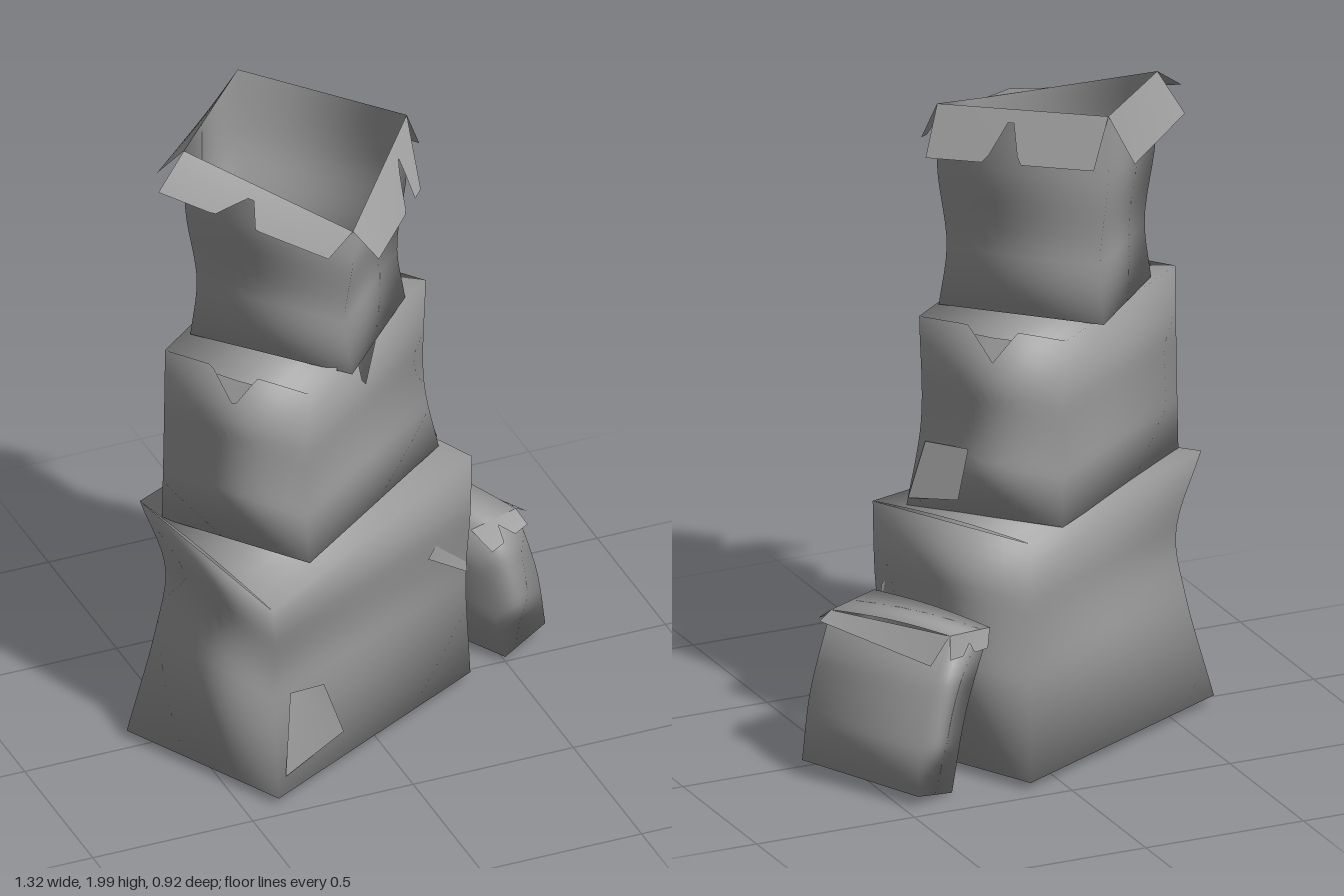
import * as THREE from 'three';
import { ParametricGeometry } from 'three/addons/geometries/ParametricGeometry.js';

const material = new THREE.MeshStandardMaterial({ color: 0x9a9a9a, side: THREE.DoubleSide });
const V = (p) => new THREE.Vector3(...p);

// Curved sheet; an optional rule gives soft normals that blend round the corners
function surface(name, fn, nu, nv, normalAt) {
  const geometry = new ParametricGeometry(fn, nu, nv);
  if (normalAt) {
    const { uv, normal } = geometry.attributes;
    for (let k = 0; k < uv.count; k++) {
      const n = normalAt(uv.getX(k), uv.getY(k)).normalize();
      normal.setXYZ(k, n.x, n.y, n.z);
    }
  }
  const mesh = new THREE.Mesh(geometry, material);
  mesh.name = name;
  return mesh;
}

// V-shaped tear: [position along the edge, half width, depth]
const tear = (u, cut) => (cut ? cut[2] * Math.max(0, 1 - Math.abs(u - cut[0]) / cut[1]) : 0);

// Point between four corners a, b, c, d
const blend = ([a, b, c, d], u, v) => a.clone().lerp(b, u).lerp(d.clone().lerp(c, u), v);

// Sheet between edge a-b and edge d-c, sagging across its middle
function sheet(name, points, { sag = 0, cut = null, normals = null } = {}) {
  const corners = points.map(V);
  return surface(name, (u, v, out) => {
    const t = v * (1 - tear(u, cut));
    out.copy(blend(corners, u, t));
    out.y -= sag * Math.sin(Math.PI * t);
  }, cut ? 30 : 10, 8, normals && ((u, v) => blend(normals, u, v)));
}

// Soft-edged box through rings of corners, listed left, front, right, back
function box(rings, { cuts = [], lid = null } = {}) {
  const group = new THREE.Group();
  const paths = [0, 1, 2, 3].map((i) => new THREE.CatmullRomCurve3(rings.map((r) => V(r[i]))));
  const cornerNormal = (i, t) => {
    const chord = paths[(i + 1) % 4].getPoint(t).sub(paths[(i + 3) % 4].getPoint(t));
    const n = chord.cross(paths[i].getTangent(t)).normalize();
    n.y -= 0.7 * Math.max(0, 1 - 3 * t);
    if (lid) n.y += 0.7 * Math.max(0, 3 * t - 2);
    return n.normalize();
  };
  for (let i = 0; i < 4; i++) {
    const j = (i + 1) % 4;
    const height = (u, v) => v * (1 - tear(u, cuts[i]));
    group.add(surface('wall',
      (u, v, out) => out.copy(paths[i].getPoint(height(u, v)).lerp(paths[j].getPoint(height(u, v)), u)),
      cuts[i] ? 30 : 12, 16,
      (u, v) => cornerNormal(i, height(u, v)).lerp(cornerNormal(j, height(u, v)), u)));
  }
  const pick = (order, fn) => order.map(fn);
  const down = [0, 3, 2, 1], up = [1, 2, 3, 0];
  group.add(sheet('floor', pick(down, (i) => rings[0][i]), { normals: pick(down, (i) => cornerNormal(i, 0)) }));
  if (lid) {
    group.add(sheet('lid', pick(up, (i) => rings[rings.length - 1][i]),
      { ...lid, normals: pick(up, (i) => cornerNormal(i, 1)) }));
  }
  return group;
}

function createModel() {
  const model = new THREE.Group();
  const add = (name, group, ...parts) => {
    group.name = name;
    group.add(...parts);
    model.add(group);
  };

  // Large box at the bottom, with a drooping front corner
  add('bottomBox', box([
    [[-0.66, 0.035, -0.05], [-0.4, 0.035, 0.455], [0.37, 0.035, 0.05], [0.11, 0.035, -0.455]],
    [[-0.57, 0.36, -0.05], [-0.385, 0.35, 0.385], [0.36, 0.36, 0.04], [0.11, 0.36, -0.445]],
    [[-0.54, 0.56, -0.05], [-0.39, 0.53, 0.41], [0.37, 0.57, 0.05], [0.11, 0.57, -0.445]],
    [[-0.615, 0.8, -0.06], [-0.42, 0.68, 0.46], [0.375, 0.77, 0.05], [0.11, 0.77, -0.45]],
  ], { lid: { sag: -0.01 } }),
  sheet('frontLabel', [[-0.37, 0.09, 0.435], [-0.14, 0.12, 0.32], [-0.21, 0.31, 0.34], [-0.33, 0.33, 0.375]]));

  // Middle box, torn at the top of its front and ends
  add('middleBox', box([
    [[-0.58, 0.78, 0.02], [-0.28, 0.775, 0.4], [0.305, 0.775, -0.03], [-0.02, 0.78, -0.395]],
    [[-0.575, 1.02, 0.02], [-0.285, 1.02, 0.385], [0.255, 1.02, -0.02], [-0.02, 1.02, -0.385]],
    [[-0.57, 1.35, 0.02], [-0.28, 1.35, 0.4], [0.265, 1.35, -0.03], [-0.03, 1.355, -0.4]],
  ], {
    cuts: [[0.48, 0.16, 0.18], [0.49, 0.1, 0.26], [0.5, 0.17, 0.16], null],
    lid: { sag: 0.03, cut: [0.49, 0.1, 0.2] },
  }),
  sheet('sideLabel', [[0.305, 0.8, -0.04], [0.205, 0.82, -0.165], [0.17, 0.97, -0.16], [0.255, 0.97, -0.05]]));

  // Open box on top with torn flaps folded out
  const rim = [[-0.49, 1.98, -0.03], [-0.12, 1.83, 0.34], [0.18, 1.97, 0.03], [-0.19, 2.0, -0.34]];
  add('topBox', box([
    [[-0.47, 1.35, -0.03], [-0.12, 1.34, 0.335], [0.175, 1.35, 0.03], [-0.18, 1.355, -0.33]],
    [[-0.45, 1.53, -0.03], [-0.13, 1.51, 0.305], [0.15, 1.53, 0.03], [-0.18, 1.54, -0.305]],
    [[-0.485, 1.77, -0.03], [-0.12, 1.72, 0.34], [0.18, 1.77, 0.03], [-0.19, 1.78, -0.335]],
    rim,
  ]),
  sheet('frontLeftFlap', [rim[1], rim[0], [-0.595, 1.9, 0.03], [-0.23, 1.81, 0.42]], { cut: [0.55, 0.12, 0.75] }),
  sheet('frontRightFlap', [rim[2], rim[1], [-0.06, 1.75, 0.39], [0.16, 1.81, 0.18]], { cut: [0.24, 0.1, 0.8] }),
  sheet('backRightFlap', [rim[3], rim[2], [0.24, 1.83, -0.02], [-0.12, 1.86, -0.39]], { cut: [0.55, 0.1, 0.9] }),
  sheet('backLeftFlap', [rim[0], rim[3], [-0.25, 1.86, -0.39], [-0.54, 1.87, -0.11]]));

  // Small box leaning against the side
  const top = [[0.2, 0.5, -0.37], [0.38, 0.505, 0.03], [0.55, 0.495, -0.04], [0.35, 0.515, -0.42]];
  add('leaningBox', box([
    [[0.32, 0.01, -0.37], [0.5, 0.025, 0], [0.655, 0.06, -0.07], [0.46, 0.045, -0.44]],
    [[0.27, 0.25, -0.36], [0.44, 0.26, 0.02], [0.62, 0.26, -0.05], [0.435, 0.26, -0.425]],
    top,
  ], { lid: { sag: -0.01 } }),
  sheet('frontFlap', [top[2], top[1], [0.43, 0.44, 0.07], [0.57, 0.46, 0]], { cut: [0.5, 0.15, 0.7] }),
  sheet('outerFlap', [top[3], top[2], [0.59, 0.47, -0.05], [0.42, 0.44, -0.44]]),
  sheet('backFlap', [top[0], top[3], [0.36, 0.45, -0.445], [0.22, 0.45, -0.4]], { cut: [0.5, 0.15, 0.5] }),
  sheet('innerFlap', [[0.36, 0.38, 0.05], [0.37, 0.53, 0], [0.29, 0.565, 0.07], [0.2, 0.515, 0.14]]));

  return model;
}

export { createModel };
